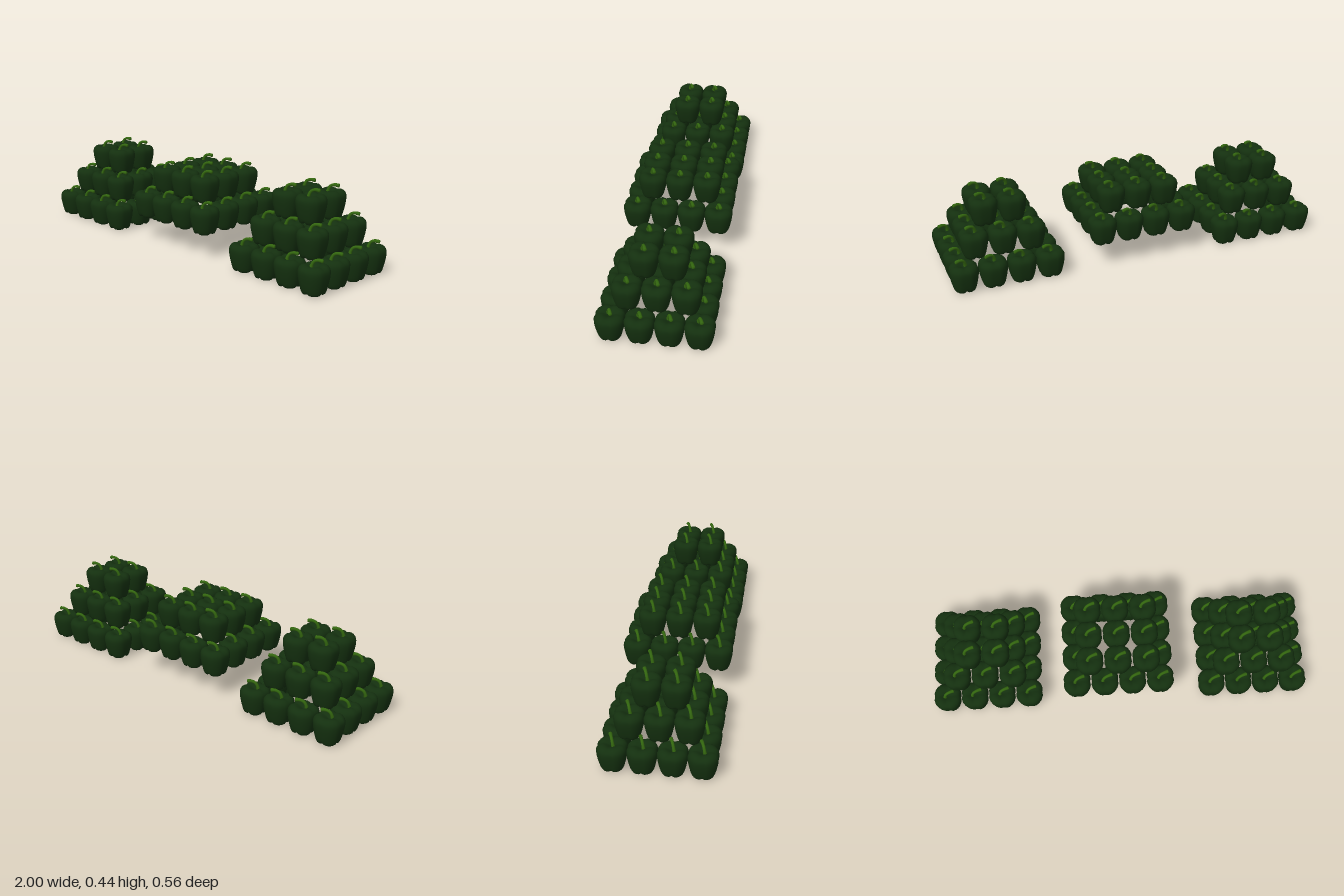
import * as THREE from 'three';
import { mergeVertices } from 'three/addons/utils/BufferGeometryUtils.js';

const bodyMaterial = new THREE.MeshStandardMaterial({ color: 0x14300f });
const stemMaterial = new THREE.MeshStandardMaterial({ color: 0x33660f });

// Four-lobed pepper: a lathed profile pinched along four grooves
function createBodyGeometry() {
  const profile = new THREE.SplineCurve([
    [0, 0.018], [0.02, 0.011], [0.038, 0.001], [0.05, 0.006], [0.058, 0.03], [0.066, 0.067],
    [0.07, 0.1], [0.067, 0.121], [0.055, 0.135], [0.037, 0.138], [0.018, 0.129], [0, 0.118],
  ].map(([r, y]) => new THREE.Vector2(r, y))).getPoints(22);
  profile.forEach(p => { p.x = Math.max(p.x, 0); });
  let geometry = new THREE.LatheGeometry(profile, 24);
  const pos = geometry.attributes.position;
  for (let i = 0; i < pos.count; i++) {
    const x = pos.getX(i), y = pos.getY(i), z = pos.getZ(i);
    const radius = Math.hypot(x, z);
    const groove = (1 - Math.abs(Math.sin(2 * Math.atan2(z, x)))) ** 2;
    const scale = 1.075 * (1 - 0.1 * groove);
    // Grooves run over the shoulders and under the base
    const rim = Math.min(radius / 0.04, 1) * groove;
    const lift = y < 0.03 ? 0.008 * (1 - y / 0.03) : y > 0.11 ? -0.007 * (y - 0.11) / 0.028 : 0;
    pos.setXYZ(i, x * scale, y + lift * rim, z * scale);
  }
  geometry.deleteAttribute('uv');
  geometry.deleteAttribute('normal');
  geometry = mergeVertices(geometry, 1e-5);
  geometry.computeVertexNormals();
  return geometry;
}

// Curled stem, flared at the base and thicker at the cut end
const stemCurve = new THREE.CatmullRomCurve3([
  [-0.012, 0.117, 0.01], [-0.009, 0.138, 0.006], [0, 0.155, 0.001], [0.018, 0.162, -0.006], [0.037, 0.16, -0.013],
].map(p => new THREE.Vector3(...p)));

function createStemGeometry() {
  const rings = 10, sides = 8;
  const geometry = new THREE.TubeGeometry(stemCurve, rings, 0.0075, sides);
  const pos = geometry.attributes.position;
  const v = new THREE.Vector3();
  for (let i = 0; i < pos.count; i++) {
    const t = Math.floor(i / (sides + 1)) / rings;
    const centre = stemCurve.getPointAt(t);
    const scale = 1 + 0.5 * Math.max(0, 1 - t * 4) + 0.25 * Math.max(0, t * 3 - 2);
    v.fromBufferAttribute(pos, i).sub(centre).multiplyScalar(scale).add(centre);
    pos.setXYZ(i, v.x, v.y, v.z);
  }
  return geometry;
}

export function createModel() {
  const model = new THREE.Group();
  model.name = 'pepperPiles';
  const bodyGeometry = createBodyGeometry();
  const stemGeometry = createStemGeometry();
  const tipGeometry = new THREE.SphereGeometry(0.0094, 8, 6);
  const tipPoint = stemCurve.getPointAt(1);

  function createPepper() {
    const pepper = new THREE.Group();
    pepper.name = 'pepper';
    const body = new THREE.Mesh(bodyGeometry, bodyMaterial);
    body.name = 'pepperBody';
    const stem = new THREE.Mesh(stemGeometry, stemMaterial);
    stem.name = 'stem';
    const tip = new THREE.Mesh(tipGeometry, stemMaterial);
    tip.name = 'stemTip';
    tip.position.copy(tipPoint);
    tip.scale.set(0.5, 1, 1);
    tip.rotation.y = 0.35;
    pepper.add(body, stem, tip);
    return pepper;
  }

  // Square layers of peppers; the four-wide layer is a hollow ring
  function addPile(name, x, baseY, layers) {
    const pile = new THREE.Group();
    pile.name = name;
    pile.position.set(x, baseY, 0);
    layers.forEach((n, level) => {
      for (let i = 0; i < n; i++) {
        for (let j = 0; j < n; j++) {
          const inner = i > 0 && i < n - 1 && j > 0 && j < n - 1;
          if (n === 4 && inner) continue;
          const pepper = createPepper();
          pepper.position.set((i - (n - 1) / 2) * 0.146, level * 0.137, (j - (n - 1) / 2) * 0.14);
          pile.add(pepper);
        }
      }
    });
    model.add(pile);
  }

  addPile('rightPile', -0.71, 0, [4, 3, 2]);
  addPile('middlePile', -0.01, 0.125, [4, 3]);
  addPile('leftPile', 0.71, 0, [4, 3, 2]);
  return model;
}
